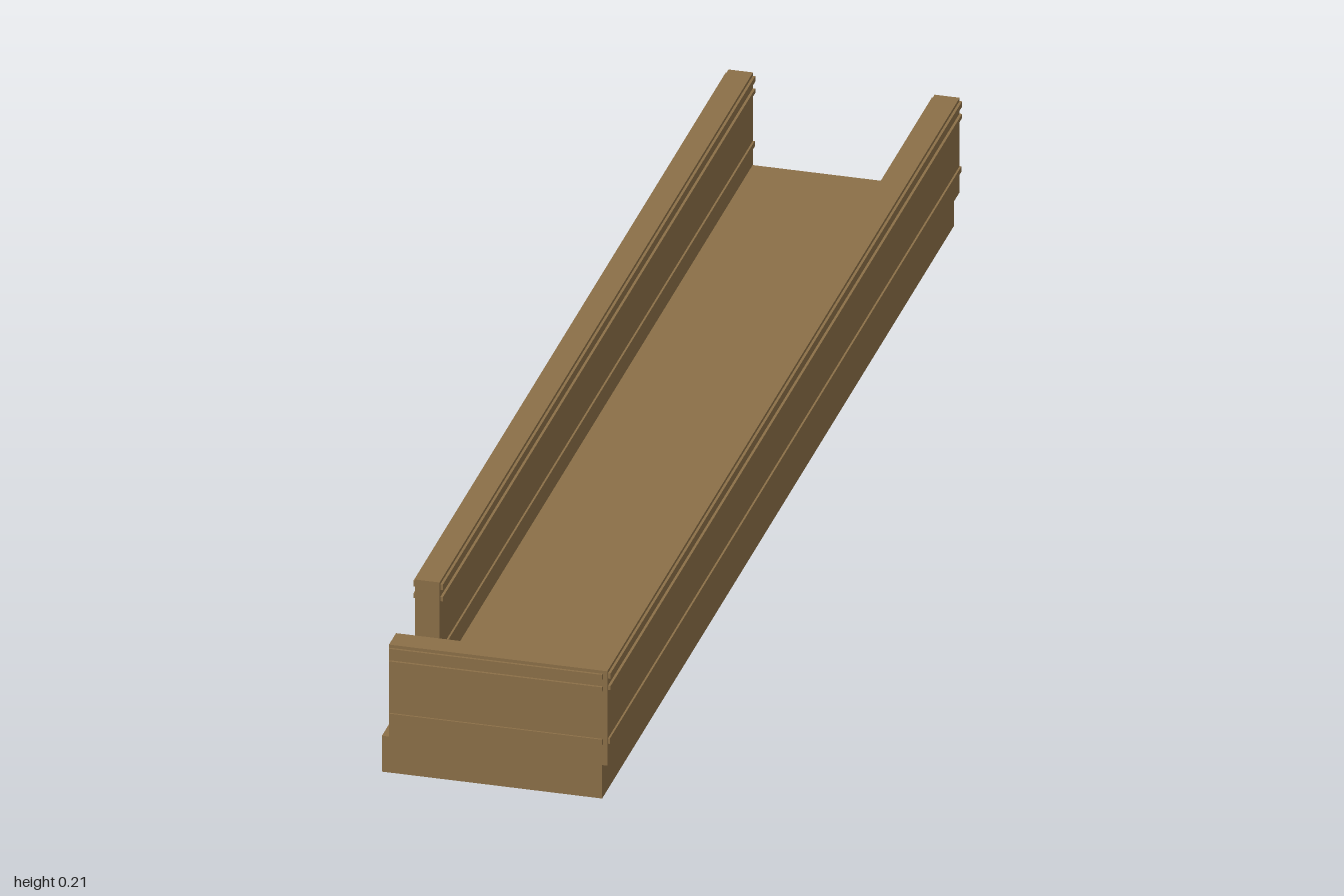
import * as THREE from 'three';

const wood = new THREE.MeshStandardMaterial({ color: 0x8b6f47 });
wood.name = 'brown wood';

// Box given by its min and max corners
function block(name, [x0, y0, z0], [x1, y1, z1]) {
  const mesh = new THREE.Mesh(new THREE.BoxGeometry(x1 - x0, y1 - y0, z1 - z0), wood);
  mesh.position.set((x0 + x1) / 2, (y0 + y1) / 2, (z0 + z1) / 2);
  mesh.name = name;
  return mesh;
}

// Horizontal trim strips: bottom, top, how far they stand out
const STRIPS = [
  [0.2, 0.209, 0.004],
  [0.181, 0.188, 0.004],
  [0.091, 0.1, 0.003],
];
const WALL_BOTTOM = 0.056, WALL_TOP = 0.214, FRONT = 0.996;

// Wall along z with trim strips on both faces
function sideWall(name, x0, x1, z0, z1) {
  const wall = new THREE.Group();
  wall.name = name;
  wall.add(block(name + 'Panel', [x0, WALL_BOTTOM, z0], [x1, WALL_TOP, z1]));
  for (const [y0, y1, out] of STRIPS) {
    wall.add(block(name + 'Trim', [x0 - out, y0, z0 + 0.001], [x1 + out, y1, z1 - 0.004]));
  }
  return wall;
}

// Wall along x, closing the front
function frontWall() {
  const wall = new THREE.Group();
  wall.name = 'frontWall';
  wall.add(block('frontPanel', [-0.16, 0.06, 0.956], [0.14, WALL_TOP, FRONT]));
  for (const [y0, y1, out] of STRIPS) {
    wall.add(block('frontTrim', [-0.159, y0, 0.956 - out], [0.172, y1, FRONT + out]));
  }
  return wall;
}

export function createModel() {
  const model = new THREE.Group();
  model.name = 'walledWalkway';
  model.add(block('floorSlab', [-0.171, 0, -0.998], [0.171, 0.06, FRONT]));
  model.add(sideWall('leftWall', 0.14, 0.179, -1, FRONT)); // full length
  model.add(sideWall('rightWall', -0.18, -0.142, -1, 0.775)); // stops short of the front opening
  model.add(frontWall());
  return model;
}
